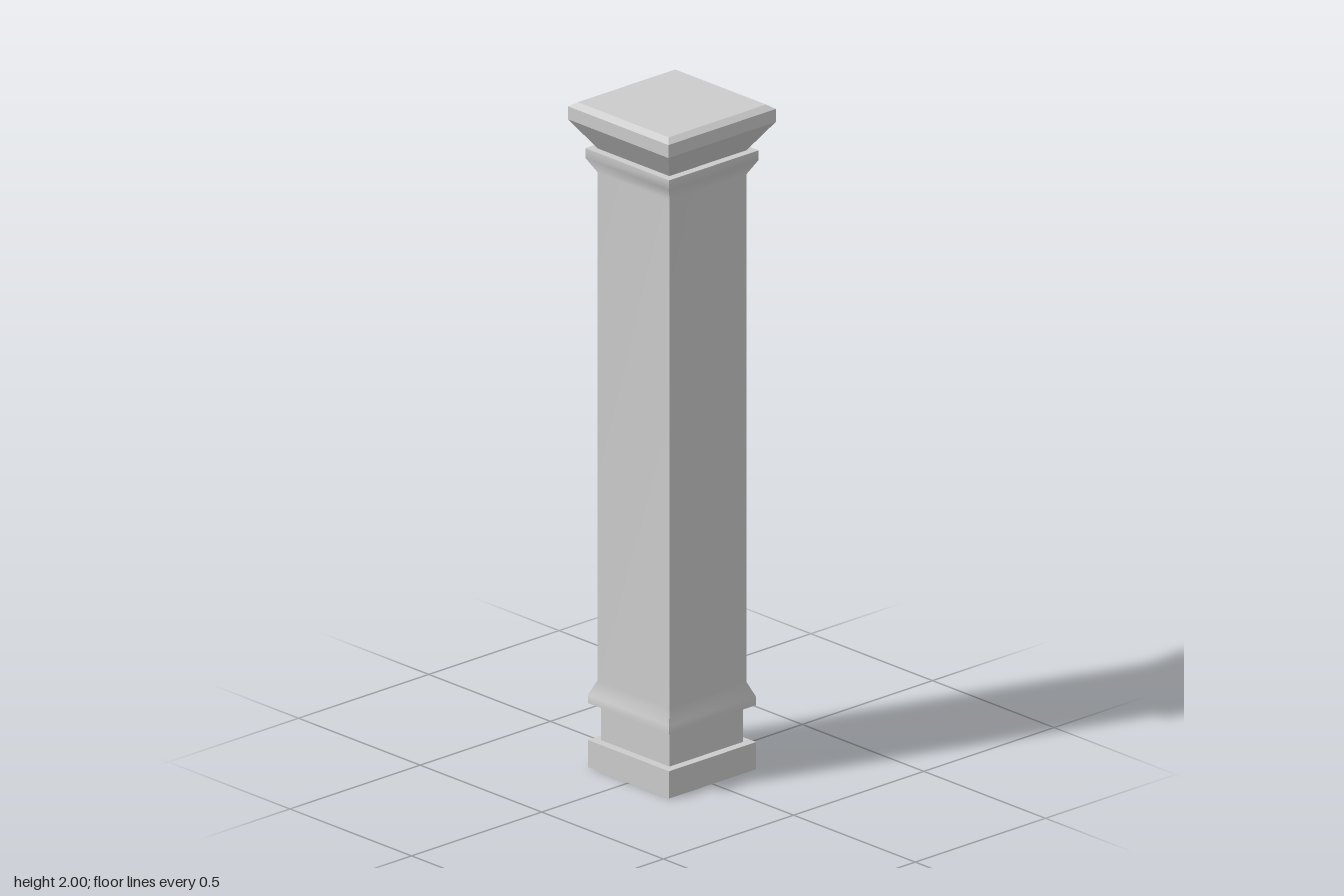
import * as THREE from 'three';
import { mergeGeometries } from 'three/addons/utils/BufferGeometryUtils.js';

const material = new THREE.MeshStandardMaterial({ color: 0xcccccc });

// One smooth strip of a square column: profile points are [half width, height], bottom to top.
function sideStrip(profile, side) {
  const positions = [], index = [];
  profile.forEach(([r, y], i) => {
    positions.push(-r, y, r, r, y, r);
    if (i === 0) return;
    const a = 2 * (i - 1);
    index.push(a, a + 1, a + 3, a, a + 3, a + 2);
  });
  const geometry = new THREE.BufferGeometry();
  geometry.setAttribute('position', new THREE.Float32BufferAttribute(positions, 3));
  geometry.setIndex(index);
  geometry.rotateY(side * Math.PI / 2);
  geometry.computeVertexNormals();
  return geometry;
}

// Square moulding: each run is smooth along its height, with sharp edges between runs and at corners.
function squareMoulding(name, runs) {
  const first = runs[0][0], last = runs.at(-1).at(-1);
  const closed = [[[0, first[1]], first], ...runs, [last, [0, last[1]]]];
  const strips = [];
  for (let side = 0; side < 4; side++) {
    for (const run of closed) strips.push(sideStrip(run, side));
  }
  const mesh = new THREE.Mesh(mergeGeometries(strips), material);
  mesh.name = name;
  return mesh;
}

export function createModel() {
  const column = new THREE.Group();
  column.name = 'squareColumn';

  column.add(
    // Foot block and the recessed neck above it
    squareMoulding('plinth', [[[0.167, 0], [0.167, 0.082]]]),
    squareMoulding('baseNeck', [[[0.141, 0.082], [0.141, 0.193]]]),
    // Shaft flaring smoothly into a moulding at each end
    squareMoulding('shaft', [[
      [0.167, 0.193], [0.167, 0.218], [0.148, 0.262],
      [0.148, 1.79], [0.172, 1.833], [0.172, 1.862],
    ]]),
    // Capital with a sloped underside, a narrow band and a bevelled top
    squareMoulding('capital', [
      [[0.148, 1.862], [0.206, 1.948]],
      [[0.206, 1.948], [0.206, 1.987]],
      [[0.206, 1.987], [0.187, 2]],
    ]),
  );
  return column;
}
